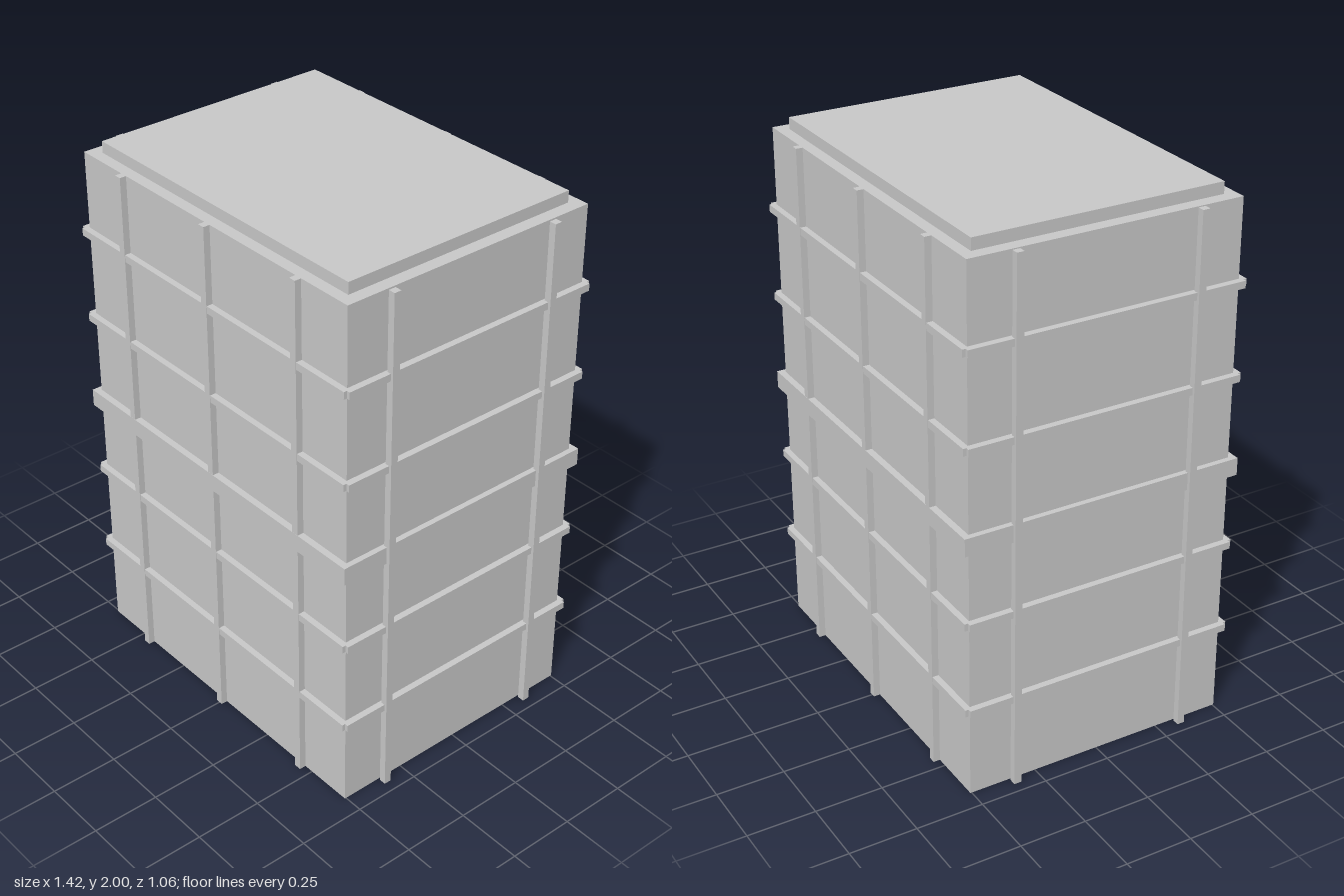
import * as THREE from 'three';

export function createModel() {
  const model = new THREE.Group();
  model.name = 'ribbedTower';
  const grey = new THREE.MeshStandardMaterial({ color: 0xc8c8c8 });
  grey.name = 'concrete grey';

  // box given by its centre x/z, its bottom and top, and its width and depth
  const block = (name, x, z, y0, y1, w, d) => {
    const mesh = new THREE.Mesh(new THREE.BoxGeometry(w, y1 - y0, d), grey);
    mesh.name = name;
    mesh.position.set(x, (y0 + y1) / 2, z);
    model.add(mesh);
  };

  const roofY = 1.957;
  block('body', 0, 0, 0, roofY, 1.354, 1.01);
  block('roofCap', 0, 0, roofY, 2, 1.26, 0.925);

  // wide belt around the middle
  block('middleBelt', 0, 0, 0.951, 1.016, 1.395, 1.06);

  // thin ledges on all four walls, leaving a small notch at each corner
  for (const y of [0.341, 0.679, 1.321, 1.659]) {
    for (const s of [-1, 1]) {
      block(s > 0 ? 'frontLedge' : 'backLedge', 0, s * 0.51, y - 0.0135, y + 0.0135, 1.376, 0.036);
      block(s > 0 ? 'leftLedge' : 'rightLedge', s * 0.683, 0, y - 0.0135, y + 0.0135, 0.036, 1.032);
    }
  }

  // upright ribs: three on front and back, two standing just off each side
  for (const s of [-1, 1]) {
    for (const x of [-0.45, 0, 0.45]) {
      block(s > 0 ? 'frontRib' : 'backRib', x, s * 0.516, 0, roofY, 0.027, 0.027);
    }
    for (const z of [-0.338, 0.338]) {
      block(s > 0 ? 'leftRib' : 'rightRib', s * 0.698, z, 0, roofY, 0.026, 0.027);
    }
  }
  return model;
}
